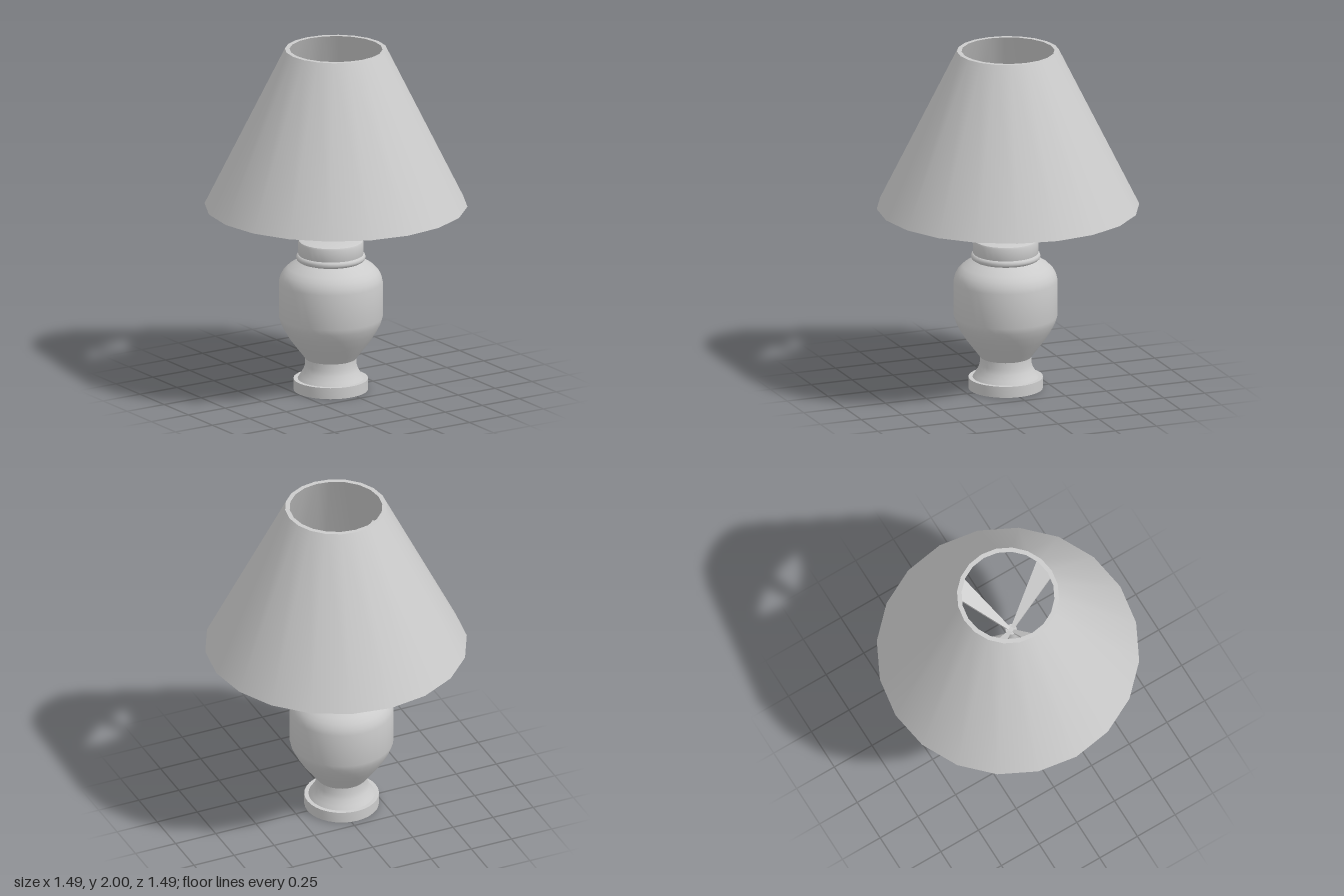
import * as THREE from 'three';
import { toCreasedNormals } from 'three/addons/utils/BufferGeometryUtils.js';

const material = new THREE.MeshStandardMaterial({ color: 0xcccccc });
const STEM_X = -0.035; // the base and stem stand slightly off the shade's axis

function addMesh(parent, name, geometry) {
  const mesh = new THREE.Mesh(geometry, material);
  mesh.name = name;
  parent.add(mesh);
  return mesh;
}

// Turned part from [radius, height] pairs, keeping hard edges sharp
function turned(points, sides) {
  const profile = points.map(([r, y]) => new THREE.Vector2(r, y));
  return toCreasedNormals(new THREE.LatheGeometry(profile, sides), 0.6);
}

// Thin plate, pointed at the stem and widening towards the shade
function armGeometry(length) {
  const half = 0.14 * length;
  const shape = new THREE.Shape([
    new THREE.Vector2(0, -0.006),
    new THREE.Vector2(length, -half),
    new THREE.Vector2(length, half),
    new THREE.Vector2(0, 0.006),
  ]);
  const geometry = new THREE.ExtrudeGeometry(shape, { depth: 0.02, bevelEnabled: false });
  return geometry.rotateX(-Math.PI / 2);
}

export function createModel() {
  const lamp = new THREE.Group();
  lamp.name = 'tableLamp';

  // Hollow conical shade, thicker at the lower rim
  addMesh(lamp, 'shade', turned([
    [0.746, 1.08], [0.29, 2], [0.264, 2], [0.67, 1.08], [0.746, 1.08],
  ], 20));

  const stand = new THREE.Group();
  stand.name = 'stand';
  stand.position.x = STEM_X;
  lamp.add(stand);

  // Round foot
  addMesh(stand, 'foot', turned([
    [0, 0], [0.212, 0], [0.212, 0.065], [0, 0.065],
  ], 32));

  // Vase-shaped body: flared neck, belly and rounded shoulder
  addMesh(stand, 'body', turned([
    [0.19, 0.062], [0.175, 0.085], [0.157, 0.115], [0.147, 0.145], [0.145, 0.185],
    [0.175, 0.225], [0.228, 0.295], [0.262, 0.35], [0.285, 0.395], [0.295, 0.43],
    [0.295, 0.635], [0.288, 0.665], [0.272, 0.695], [0.245, 0.722], [0.205, 0.748],
    [0.17, 0.77],
  ], 32));

  // Collar bead and cap
  const bead = new THREE.TorusGeometry(0.178, 0.02, 10, 32).rotateX(Math.PI / 2);
  addMesh(stand, 'collarBead', bead).position.y = 0.78;
  addMesh(stand, 'cap', turned([
    [0.17, 0.76], [0.185, 0.79], [0.185, 0.868], [0.181, 0.877], [0.172, 0.88], [0, 0.88],
  ], 32));

  // Stem
  const stem = new THREE.CylinderGeometry(0.032, 0.032, 0.65, 16);
  addMesh(stand, 'stem', stem).position.y = 1.195;

  // Four arms rising from the stem to the inside of the shade
  const rise = 0.5;
  const lengths = [0.415, 0.375, 0.36, 0.4];
  lengths.forEach((reach, i) => {
    const holder = new THREE.Group();
    holder.name = 'shadeArm' + (i + 1);
    holder.position.y = 1.49;
    holder.rotation.y = 0.462 + i * Math.PI / 2;
    const arm = addMesh(holder, 'armPlate', armGeometry(reach / Math.cos(rise)));
    arm.rotation.z = rise;
    stand.add(holder);
  });

  return lamp;
}
